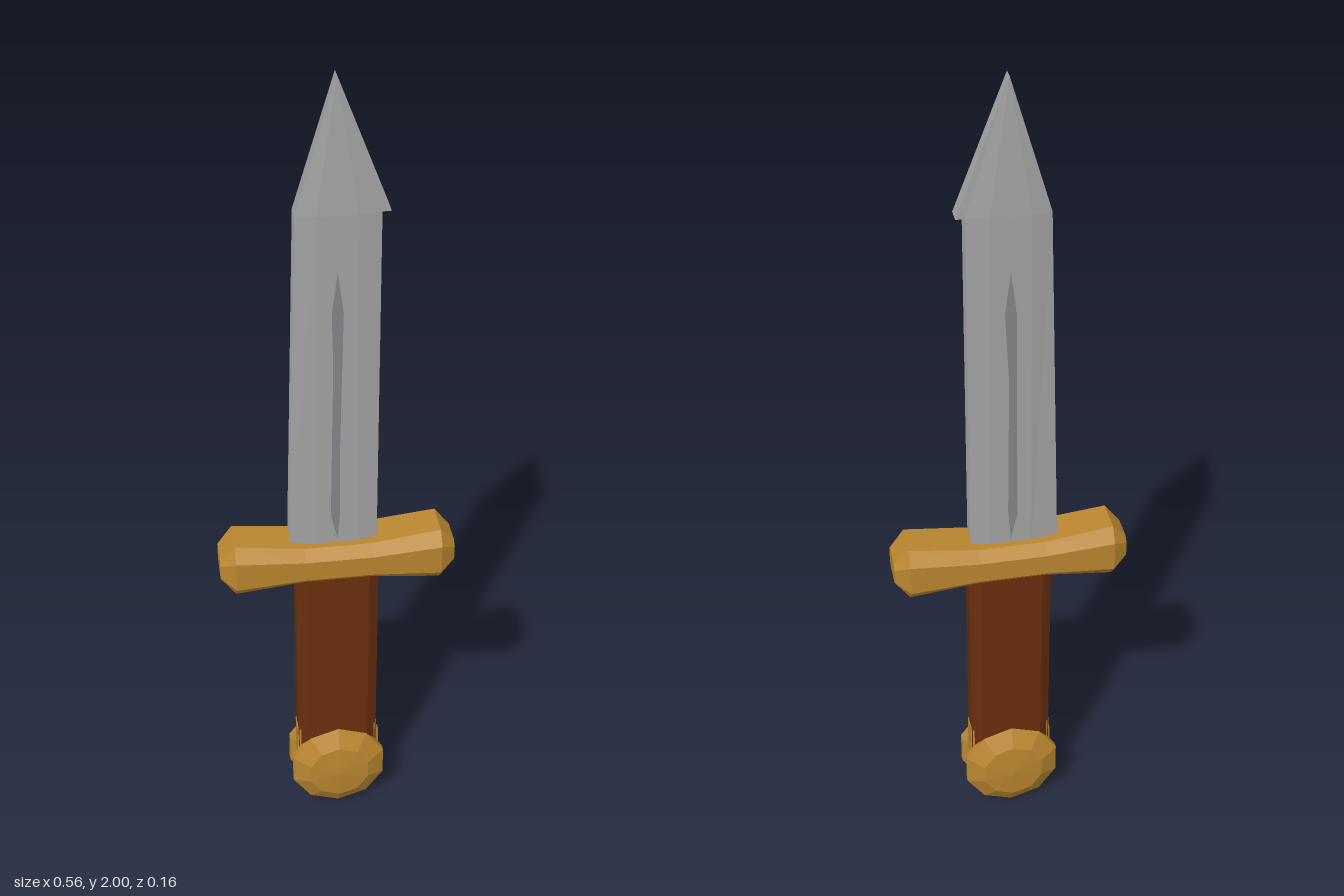
import * as THREE from 'three';

const flat = (name, color, side = THREE.FrontSide) => {
  const m = new THREE.MeshStandardMaterial({ color, flatShading: true, side });
  m.name = name;
  return m;
};

// Triangulated geometry from quads or triangles given as corner lists
function fromFaces(faces) {
  const pos = [];
  for (const f of faces)
    for (let i = 1; i < f.length - 1; i++) pos.push(...f[0], ...f[i], ...f[i + 1]);
  const g = new THREE.BufferGeometry();
  g.setAttribute('position', new THREE.Float32BufferAttribute(pos, 3));
  g.computeVertexNormals();
  return g;
}

// Closed solid through a row of equal-sized cross-sections
function loft(rings) {
  const faces = [[...rings[0]].reverse(), rings[rings.length - 1]];
  for (let r = 0; r < rings.length - 1; r++) {
    const a = rings[r], b = rings[r + 1], n = a.length;
    for (let i = 0; i < n; i++) {
      const j = (i + 1) % n;
      faces.push([a[i], a[j], b[j], b[i]]);
    }
  }
  return fromFaces(faces);
}

// Chamfered rectangle: half sizes hu, hv and flat half lengths fu, fv
const octagon = (hu, hv, fu, fv) => [
  [hu, -fv], [hu, fv], [fu, hv], [-fu, hv], [-hu, fv], [-hu, -fv], [-fu, -hv], [fu, -hv],
];

export function createModel() {
  const steel = flat('steel', 0xa3a3a3, THREE.DoubleSide);
  const darkSteel = flat('dark steel', 0x85858a, THREE.DoubleSide);
  const brass = flat('brass', 0xb98630);
  const leather = flat('brown leather', 0x6b2e0e);

  const group = new THREE.Group();
  const add = (name, geometry, material) => {
    const mesh = new THREE.Mesh(geometry, material);
    mesh.name = name;
    group.add(mesh);
    return mesh;
  };

  // Blade: two slightly bowed sheets, open along the edges
  const rowsX = [[-0.115, -0.05, 0.05, 0.095], [-0.09, -0.045, 0.045, 0.095]];
  const colZ = [0.02, 0.028, 0.028, 0.02];
  for (const s of [1, -1]) {
    const low = rowsX[0].map((x, i) => [x, 0.82, s * colZ[i]]);
    const high = rowsX[1].map((x, i) => [x, 1.7, s * colZ[i]]);
    const tip = [0, 2, s * 0.014];
    const barb = [0.115, 1.7, s * 0.019];
    const faces = [];
    for (let i = 0; i < 3; i++) {
      faces.push([low[i], low[i + 1], high[i + 1], high[i]]);
      faces.push([high[i], high[i + 1], tip]);
    }
    faces.push([high[3], barb, tip]);
    if (s < 0) faces.forEach((f) => f.reverse());
    add(s > 0 ? 'bladeFront' : 'bladeBack', fromFaces(faces), steel);

    // Narrow groove marking down the middle of each side
    const z = s * 0.0295;
    const groove = [
      [0, 0.86, z], [0.006, 0.94, z], [0.003, 1.46, z], [0.013, 1.47, z],
      [0, 1.57, z], [-0.013, 1.47, z], [-0.009, 1.4, z], [-0.016, 0.93, z],
    ];
    if (s < 0) groove.reverse();
    add(s > 0 ? 'grooveFront' : 'grooveBack', fromFaces([groove]), darkSteel);
  }

  // Slanted edges closing the point
  add('bladePointEdges', fromFaces([
    [[-0.09, 1.7, -0.02], [-0.09, 1.7, 0.02], [0, 2, 0.014], [0, 2, -0.014]],
    [[0.115, 1.7, 0.019], [0.115, 1.7, -0.019], [0, 2, -0.014], [0, 2, 0.014]],
  ]), steel);

  // Crossguard: flared at the ends, waisted in the middle
  const guardSections = [
    [-0.28, 0.03, 0.045, 0.018, 0.03],
    [-0.245, 0.07, 0.07, 0.038, 0.042],
    [-0.08, 0.05, 0.07, 0.026, 0.045],
    [0.08, 0.05, 0.07, 0.026, 0.045],
    [0.245, 0.07, 0.07, 0.038, 0.042],
    [0.28, 0.03, 0.045, 0.018, 0.03],
  ];
  add('crossguard', loft(guardSections.map(([x, ...o]) =>
    octagon(...o).map(([y, z]) => [x, 0.8 + y, z]))), brass);

  // Grip: chamfered bar
  const bar = (y0, y1, ...o) => loft([y0, y1].map((y) => octagon(...o).map(([z, x]) => [x, y, z])));
  add('grip', bar(0.14, 0.78, 0.045, 0.1, 0.025, 0.075), leather);
  add('gripCollar', bar(0.14, 0.25, 0.03, 0.102, 0.022, 0.095), brass);

  // Pommel: thick faceted disc with a shallow groove round its rim
  const half = [[0.105, 0.02], [0.125, 0.028], [0.126, 0.045], [0.08, 0.072], [0, 0.078]];
  const profile = [...half.map(([r, z]) => [r, -z]).reverse(), ...half]
    .map(([r, z]) => new THREE.Vector2(r, z));
  const disc = new THREE.LatheGeometry(profile, 10);
  disc.rotateX(Math.PI / 2);
  disc.scale(0.98, 1.01, 1);
  add('pommel', disc, brass).position.y = 0.128;

  return group;
}
